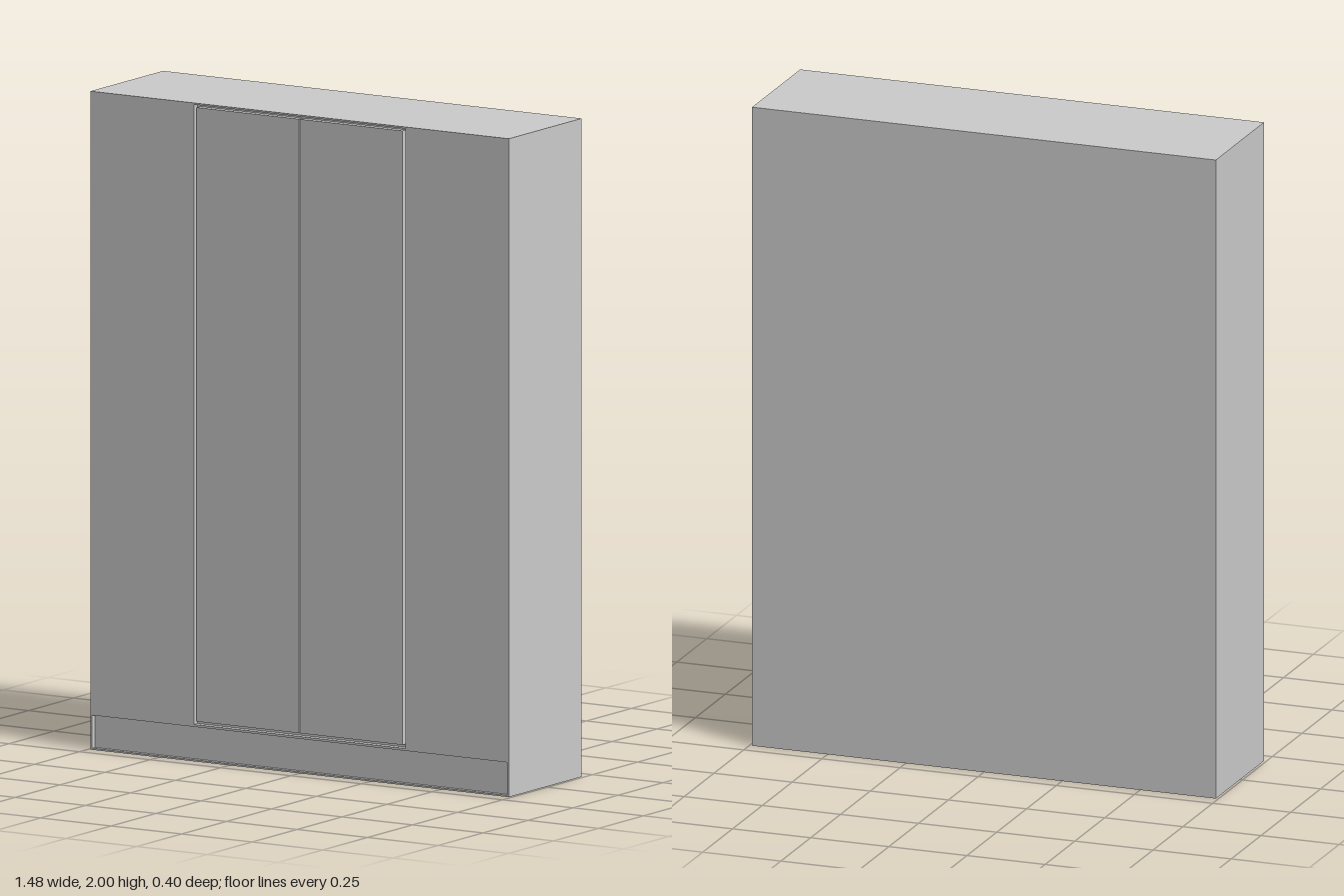
import * as THREE from 'three';

const W = 1.484, H = 2, D = 0.404; // overall size
const FRONT = D / 2, PANEL = 0.02; // front plane and front panel thickness

export function createModel() {
  const group = new THREE.Group();
  group.name = 'wardrobe';
  const material = new THREE.MeshStandardMaterial({ color: 0xcccccc });

  const add = (name, geometry, x, y, z) => {
    const mesh = new THREE.Mesh(geometry, material);
    mesh.name = name;
    mesh.position.set(x, y, z);
    group.add(mesh);
  };
  const rect = (Type, x0, y0, x1, y1) => {
    const path = new Type();
    path.moveTo(x0, y0).lineTo(x1, y0).lineTo(x1, y1).lineTo(x0, y1).closePath();
    return path;
  };

  // Carcass behind the front panels
  add('carcass', new THREE.BoxGeometry(W, H, D - PANEL), 0, H / 2, -PANEL / 2);

  // Flush front with openings for the centre doors and the plinth
  const front = rect(THREE.Shape, -W / 2, 0, W / 2, H);
  front.holes.push(
    rect(THREE.Path, -0.375, 0.112, 0.375, 1.995),
    rect(THREE.Path, -0.736, 0.005, 0.736, 0.105)
  );
  add('frontFrame', new THREE.ExtrudeGeometry(front, { depth: PANEL, bevelEnabled: false }),
    0, 0, FRONT - PANEL);

  // Pair of centre doors, separated by narrow shadow gaps
  const x0 = 0.002, x1 = 0.365, y0 = 0.122, y1 = 1.987;
  for (const side of [1, -1]) {
    add(side > 0 ? 'leftDoor' : 'rightDoor', new THREE.BoxGeometry(x1 - x0, y1 - y0, PANEL),
      side * (x0 + x1) / 2, (y0 + y1) / 2, FRONT - PANEL / 2);
  }

  // Slightly recessed plinth board
  add('plinth', new THREE.BoxGeometry(1.472, 0.1, 0.005), 0, 0.055, FRONT - PANEL + 0.0025);

  return group;
}
